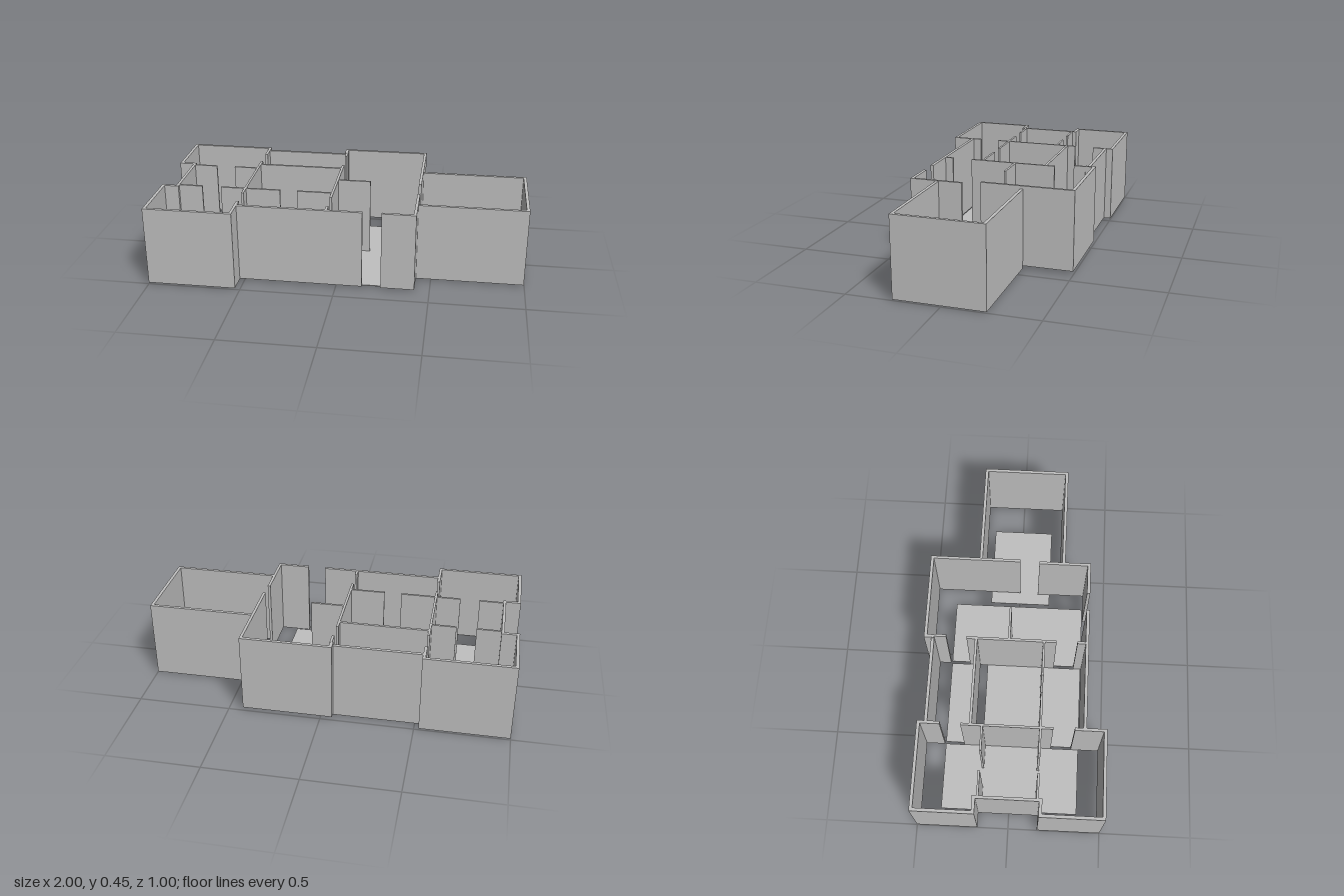
import * as THREE from 'three';

export function createModel() {
  const model = new THREE.Group();
  const plaster = new THREE.MeshStandardMaterial({ color: 0xc0c0c0 });
  plaster.name = 'grey plaster';

  // box given by its plan rectangle and its height range
  function block(parent, name, [x0, x1, z0, z1], y0, y1) {
    const mesh = new THREE.Mesh(new THREE.BoxGeometry(x1 - x0, y1 - y0, z1 - z0), plaster);
    mesh.position.set((x0 + x1) / 2, (y0 + y1) / 2, (z0 + z1) / 2);
    mesh.name = name;
    parent.add(mesh);
  }
  function section(name, part, y0, y1, plans) {
    const group = new THREE.Group();
    group.name = name;
    plans.forEach((p) => block(group, part, p, y0, y1));
    model.add(group);
  }

  // rooms at the right end, front and back, with the recessed entry wall between
  section('endRooms', 'outerWall', 0.008, 0.44, [
    [-1, -0.525, -0.5, -0.483],
    [-1, -0.983, -0.483, -0.168],
    [-0.983, -0.905, -0.185, -0.168],
    [-0.92, -0.905, -0.168, 0.158],
    [-0.983, -0.905, 0.158, 0.175],
    [-1, -0.983, 0.158, 0.483],
    [-1, -0.525, 0.483, 0.5],
    [-0.54, -0.525, 0.33, 0.483],
    [-0.54, -0.525, -0.483, -0.38],
  ]);

  // front wall with doorway, and the back wall of the middle
  section('middleShell', 'outerWall', 0.01, 0.44, [
    [-0.525, 0.14, 0.375, 0.392],
    [0.24, 0.42, 0.375, 0.392],
    [0.405, 0.42, 0.105, 0.375],
    [-0.525, -0.065, -0.462, -0.445],
  ]);

  // taller back room
  section('backRoom', 'outerWall', 0.02, 0.453, [
    [-0.065, 0.42, -0.5, -0.483],
    [-0.065, -0.048, -0.483, -0.445],
    [-0.058, -0.045, -0.445, -0.38],
    [0.405, 0.42, -0.483, 0],
  ]);

  // annex on the left end
  section('annex', 'outerWall', 0.005, 0.437, [
    [0.42, 0.998, -0.23, -0.213],
    [0.42, 0.998, 0.233, 0.25],
    [0.981, 0.998, -0.213, 0.233],
  ]);

  // partitions between the rooms, with door gaps
  section('partitions', 'innerWall', 0.008, 0.44, [
    [-0.54, -0.528, -0.27, 0.217],
    [-0.058, -0.045, -0.27, 0.217],
    [-0.058, -0.045, 0.33, 0.375],
    [-0.528, -0.058, -0.225, -0.211],
    [-0.905, -0.775, -0.163, -0.152],
    [-0.67, -0.54, -0.163, -0.152],
    [-0.905, -0.775, 0.144, 0.156],
    [-0.67, -0.54, 0.144, 0.156],
    [-0.528, -0.34, 0.144, 0.156],
    [-0.045, 0.135, -0.046, -0.034],
  ]);
  section('hallPartition', 'innerWall', 0, 0.44, [[-0.245, -0.058, 0.144, 0.156]]);

  // thin floor sheets
  section('floors', 'floor', 0.006, 0.01, [
    [-0.905, -0.54, -0.375, 0.372],
    [-0.528, -0.058, -0.375, -0.211],
    [-0.528, -0.058, -0.168, 0.372],
    [-0.045, 0.317, -0.375, 0.372],
    [0.337, 0.813, -0.17, 0.175],
  ]);
  return model;
}
